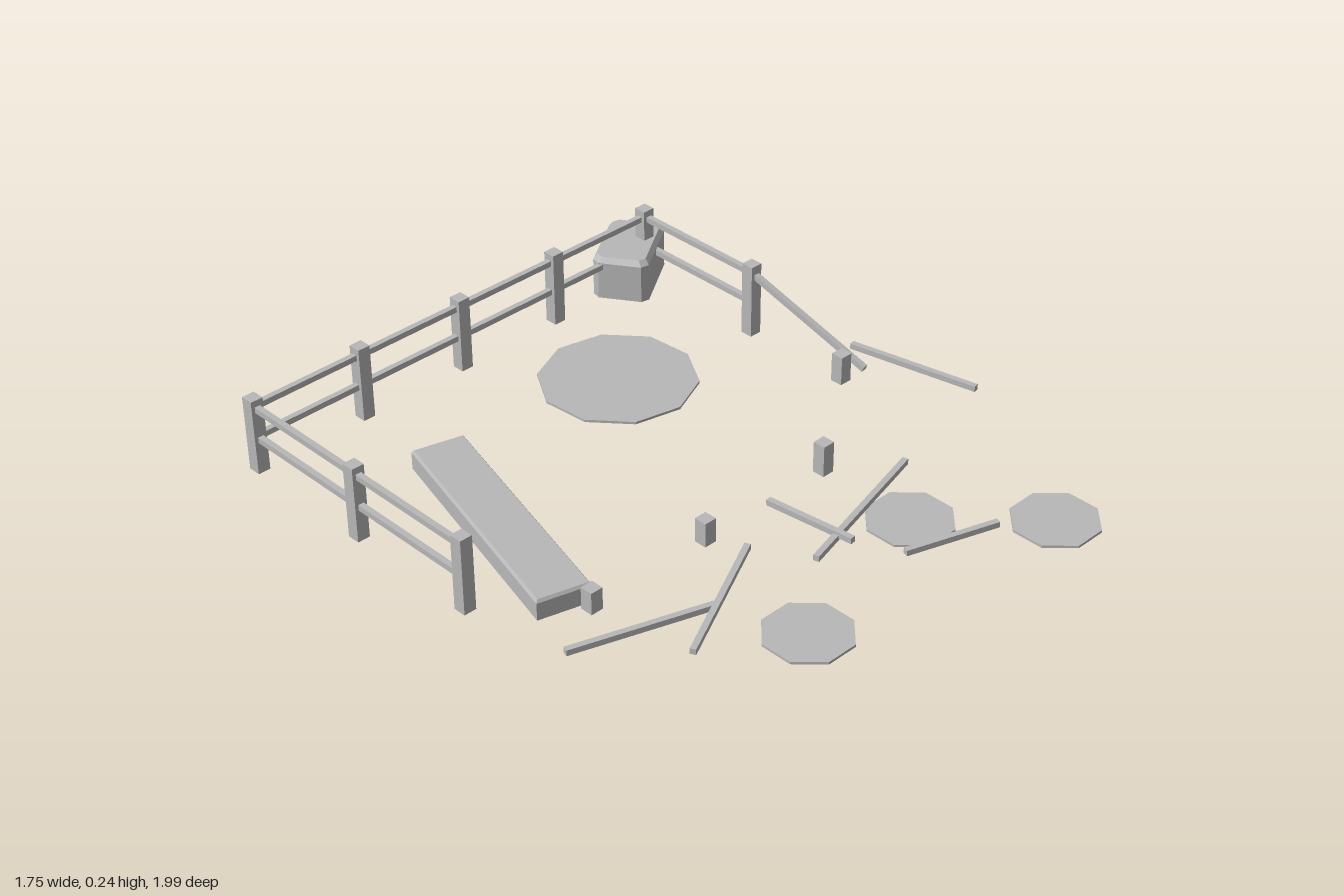
import * as THREE from 'three';

const grey = new THREE.MeshStandardMaterial({ color: 0xb8b8b8, side: THREE.DoubleSide, flatShading: true });
grey.name = 'weathered grey';

// Open-bottomed block lofted through levels [y, inset, cornerCut]
function shell(w, d, levels) {
  const rings = levels.map(([y, inset, cut]) => {
    const a = w / 2 - inset, b = d / 2 - inset;
    const pts = cut
      ? [[a, b - cut], [a - cut, b], [cut - a, b], [-a, b - cut], [-a, cut - b], [cut - a, -b], [a - cut, -b], [a, cut - b]]
      : [[a, b], [-a, b], [-a, -b], [a, -b]];
    return pts.map(([x, z]) => [x, y, z]);
  });
  const n = rings[0].length, pos = [];
  const tri = (...p) => p.forEach((q) => pos.push(...q));
  for (let r = 0; r + 1 < rings.length; r++) {
    for (let i = 0; i < n; i++) {
      const j = (i + 1) % n, lo = rings[r], hi = rings[r + 1];
      tri(lo[i], hi[i], hi[j]);
      tri(lo[i], hi[j], lo[j]);
    }
  }
  const top = rings[rings.length - 1];
  for (let i = 1; i + 1 < n; i++) tri(top[0], top[i + 1], top[i]);
  const g = new THREE.BufferGeometry();
  g.setAttribute('position', new THREE.Float32BufferAttribute(pos, 3));
  g.computeVertexNormals();
  return g;
}

export function createModel() {
  const group = new THREE.Group();
  group.name = 'ruinedPen';

  const add = (name, geometry, x, y, z, turn = 0) => {
    const mesh = new THREE.Mesh(geometry, grey);
    mesh.name = name;
    mesh.position.set(x, y, z);
    mesh.rotation.y = turn;
    group.add(mesh);
    return mesh;
  };
  const post = (name, x, z, h) => add(name, shell(0.04, 0.04, [[0, 0, 0], [h, 0, 0]]), x, 0, z);
  const rail = (name, a, b) => {
    const from = new THREE.Vector3(...a), to = new THREE.Vector3(...b);
    const mid = from.clone().add(to).multiplyScalar(0.5);
    const mesh = add(name, new THREE.BoxGeometry(0.018, 0.018, from.distanceTo(to)), mid.x, mid.y, mid.z);
    mesh.lookAt(to);
  };

  // Standing posts
  const L = -0.858, R = 0.631, B = -0.843;
  for (const x of [L, -0.483, -0.113, 0.256, R]) post('backPost', x, B, 0.24);
  for (const z of [-0.4, 0.04]) post('rightSidePost', L, z, 0.24);
  post('leftSidePost', R, -0.38, 0.24);

  // Broken post stumps
  for (const [x, z, h] of [[R, -0.01, 0.093], [-0.622, 0.27, 0.07], [-0.207, 0.27, 0.077], [0.256, 0.27, 0.1]]) {
    post('stump', x, z, h);
  }

  // Two rows of rails still in place
  for (const y of [0.21, 0.11]) {
    rail('backRail', [L, y, B], [R, y, B]);
    rail('rightSideRail', [L, y, B], [L, y, 0.04]);
    rail('leftSideRail', [R, y, B], [R, y, -0.38]);
  }

  // Rail hanging from the last post, and rails lying on the ground
  rail('hangingRail', [R, 0.206, -0.37], [0.678, 0.042, 0.04]);
  const fallen = [
    [[-0.805, 0.018, 0.367], [-0.4, 0.018, 0.5]],
    [[-0.573, 0.017, 0.594], [-0.16, 0.02, 0.383]],
    [[-0.066, 0.017, 0.546], [0.441, 0.017, 0.412]],
    [[0.029, 0.017, 0.277], [0.055, 0.026, 0.568]],
    [[0.124, 0.018, 0.694], [0.4, 0.018, 0.784]],
    [[0.774, 0.018, -0.098], [0.861, 0.018, 0.314]],
  ];
  for (const [a, b] of fallen) rail('fallenRail', a, b);

  // Long trough with slightly tapered sides
  add('trough', shell(0.162, 0.778, [[0, 0, 0], [0.055, 0, 0], [0.064, 0.006, 0]]), -0.578, 0, -0.147, -0.264);

  // Bale with cut corners and a bevelled top
  add('bale', shell(0.255, 0.175, [[0, 0, 0.02], [0.123, 0, 0.02], [0.14, 0.012, 0.018]]), 0.581, 0, -0.861, 0.585);

  // Flat ground patches
  add('largePatch', new THREE.CylinderGeometry(0.24, 0.24, 0.008, 10), 0.166, 0.004, -0.47, THREE.MathUtils.degToRad(5));
  for (const [x, z] of [[-0.298, 0.737], [0.256, 0.594], [0.536, 0.874]]) {
    add('smallPatch', new THREE.CylinderGeometry(0.13, 0.13, 0.008, 8), x, 0.004, z, Math.PI / 8);
  }
  return group;
}
